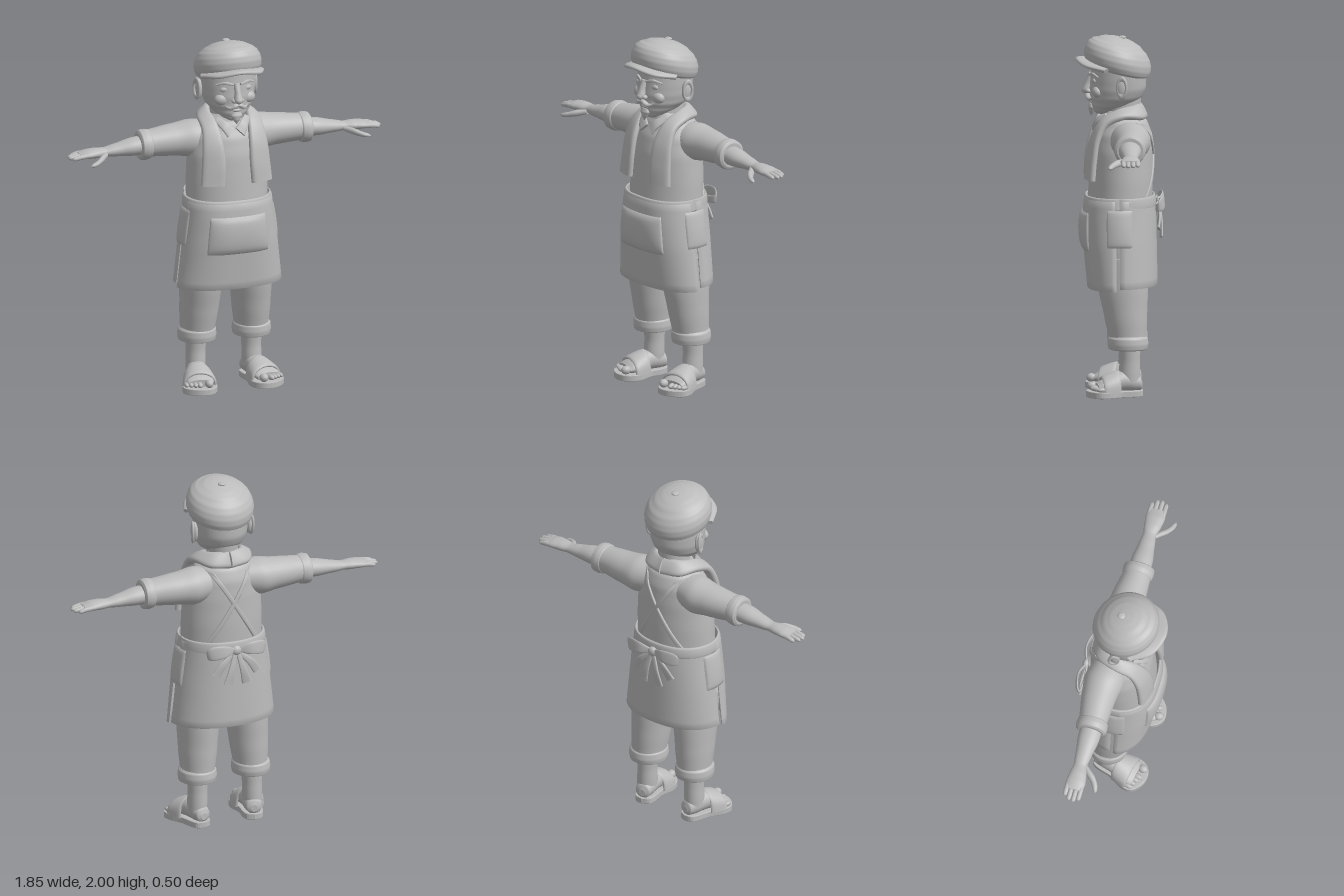
import * as THREE from 'three';

const clay = new THREE.MeshStandardMaterial({ color: 0xbbbbbb });
clay.name = 'plain grey';
const V = (x, y, z) => new THREE.Vector3(x, y, z);
const spow = (v, p) => Math.sign(v) * Math.pow(Math.abs(v), p);

// Closed skin from rings of points; flips itself so that it faces outwards
function skin(rings) {
  const n = rings[0].length, pos = [], idx = [];
  rings.forEach(r => r.forEach(p => pos.push(p.x, p.y, p.z)));
  for (let i = 0; i < rings.length - 1; i++) for (let j = 0; j < n; j++) {
    const a = i * n + j, b = i * n + (j + 1) % n, c = a + n, d = b + n;
    idx.push(a, b, c, b, d, c);
  }
  const flat = rings.flat();
  let volume = 0;
  for (let i = 0; i < idx.length; i += 3)
    volume += flat[idx[i]].dot(flat[idx[i + 1]].clone().cross(flat[idx[i + 2]]));
  if (volume < 0) idx.reverse();
  const g = new THREE.BufferGeometry();
  g.setAttribute('position', new THREE.Float32BufferAttribute(pos, 3));
  g.setIndex(idx);
  g.computeVertexNormals();
  return g;
}

// Close both ends of a ring list with a crisp cap
function capped(rings) {
  const end = r => {
    const c = r.reduce((s, p) => s.add(p), V(0, 0, 0)).divideScalar(r.length);
    return r.map(() => c.clone());
  };
  const last = rings[rings.length - 1];
  return skin([end(rings[0]), rings[0], ...rings, last, end(last)]);
}

// Smooth loft through elliptical sections [x, y, z, radiusA, radiusB]
function loft(secs, axis = 'y', n = 32, sub = 5) {
  const centre = new THREE.CatmullRomCurve3(secs.map(s => V(s[0], s[1], s[2])), false, 'centripetal');
  const rings = [], count = (secs.length - 1) * sub;
  for (let i = 0; i <= count; i++) {
    const t = i / count, c = centre.getPoint(t), k = Math.min(Math.floor(i / sub), secs.length - 2), f = i / sub - k;
    const mix = m => {
      const s = q => secs[Math.max(0, Math.min(secs.length - 1, q))][m];
      const v = THREE.MathUtils, p1 = s(k), p2 = s(k + 1), e = f * f * (3 - 2 * f);
      return v.lerp(v.lerp(p1, p2, f), v.lerp(p1, p2, e), 0.4);
    };
    const a = mix(3), b = mix(4), ring = [];
    for (let j = 0; j < n; j++) {
      const u = a * Math.cos(j / n * Math.PI * 2), w = b * Math.sin(j / n * Math.PI * 2);
      ring.push(c.clone().add(axis === 'y' ? V(u, 0, w) : axis === 'x' ? V(0, u, w) : V(u, w, 0)));
    }
    rings.push(ring);
  }
  return capped(rings);
}

// Padded band running between two edge curves
function strip(A, B, t, steps = 24) {
  const ca = new THREE.CatmullRomCurve3(A.map(p => V(...p))), cb = new THREE.CatmullRomCurve3(B.map(p => V(...p)));
  const mid = s => ca.getPoint(s).add(cb.getPoint(s)).multiplyScalar(0.5), rings = [];
  for (let i = 0; i <= steps; i++) {
    const s = i / steps, c = mid(s), w = cb.getPoint(s).sub(c);
    const n = mid(Math.min(1, s + 0.01)).sub(mid(Math.max(0, s - 0.01))).cross(w).normalize();
    const ring = [];
    for (let j = 0; j < 16; j++) {
      const q = j / 16 * Math.PI * 2;
      ring.push(c.clone().addScaledVector(w, spow(Math.cos(q), 0.7)).addScaledVector(n, t * spow(Math.sin(q), 0.7)));
    }
    rings.push(ring);
  }
  return capped(rings);
}

function ball(x, y, z, a, b, c) {
  return new THREE.SphereGeometry(1, 20, 14).scale(a, b, c).translate(x, y, z);
}

// Interpolate table rows [y, ...values], highest y first
function at(table, y) {
  let k = 0;
  while (k < table.length - 2 && y < table[k + 1][0]) k++;
  const f = THREE.MathUtils.clamp((table[k][0] - y) / (table[k][0] - table[k + 1][0]), 0, 1);
  return table[k].map((v, i) => v + (table[k + 1][i] - v) * f);
}

// Apron surface: y, half width, front z, back z
const APRON = [[1.12, 0.236, 0.178, -0.19], [1, 0.25, 0.19, -0.197], [0.85, 0.272, 0.187, -0.2], [0.6, 0.3, 0.163, -0.205]];
function apronPoint(q, y, off) {
  const [, rx, zf, zb] = at(APRON, y), c = Math.cos(q), s = Math.sin(q);
  const x = (s > 0 ? spow(c, 0.75) : spow(c, 0.85)) * (rx + off);
  return V(x, y, s > 0 ? (zf + off) * s : (-zb + off) * s);
}
// Curved cloth panel with thickness, laid over the apron surface
function panel(q0, q1, top, bottom, off, t, bulge = 0, cols = 40) {
  const rings = [], rows = 12;
  for (let i = 0; i <= cols; i++) {
    const u = i / cols, q = q0 + (q1 - q0) * u, th = i % cols ? t : t * 0.4, ring = [];
    for (let j = 0; j <= 2 * rows + 1; j++) {
      const outer = j <= rows, v = (outer ? j : 2 * rows + 1 - j) / rows;
      const puff = bulge * Math.sqrt(Math.sin(Math.PI * u) * Math.abs(Math.sin(Math.PI * v)));
      ring.push(apronPoint(q, top + (bottom - top) * v, off + (outer ? th + puff : 0)));
    }
    rings.push(ring);
  }
  return capped(rings);
}

// Torso: y, half width, centre z, depth radius
const TORSO = [[1.585, 0.075, -0.005, 0.08], [1.555, 0.12, -0.02, 0.105], [1.52, 0.165, -0.028, 0.13], [1.45, 0.205, -0.022, 0.158],
  [1.35, 0.226, -0.014, 0.172], [1.2, 0.233, -0.01, 0.178], [1.08, 0.233, -0.005, 0.18]];

export function createModel() {
  const root = new THREE.Group();
  const add = (name, g, parent = root) => {
    const m = new THREE.Mesh(g, clay);
    m.name = name;
    parent.add(m);
  };
  const mirror = g => {
    const m = g.clone().scale(-1, 1, 1), n = m.attributes.position.count;
    const id = m.index ? Array.from(m.index.array) : Array.from({ length: n }, (_, i) => i);
    for (let i = 0; i < id.length; i += 3) [id[i], id[i + 1]] = [id[i + 1], id[i]];
    m.setIndex(id);
    return m;
  };
  const pair = (name, g) => { add(name + 'Left', g); add(name + 'Right', mirror(g)); };

  // Head and face
  add('head', loft([[0, 1.565, 0.1, 0.03, 0.025], [0, 1.585, 0.085, 0.065, 0.062], [0, 1.62, 0.04, 0.108, 0.115], [0, 1.66, 0.018, 0.137, 0.145],
    [0, 1.71, 0.008, 0.15, 0.157], [0, 1.77, 0.004, 0.155, 0.156], [0, 1.84, 0, 0.157, 0.155], [0, 1.9, 0, 0.13, 0.13]], 'y', 40));
  add('neck', loft([[0, 1.48, -0.02, 0.09, 0.09], [0, 1.68, -0.03, 0.085, 0.095]]));
  add('noseBridge', loft([[0, 1.79, 0.155, 0.017, 0.014], [0, 1.74, 0.168, 0.018, 0.022], [0, 1.70, 0.18, 0.025, 0.026], [0, 1.682, 0.178, 0.016, 0.018]], 'y', 20));
  add('noseTip', ball(0, 1.697, 0.187, 0.022, 0.02, 0.021));
  pair('nostril', ball(0.023, 1.693, 0.171, 0.014, 0.013, 0.016));
  pair('cheek', ball(0.075, 1.695, 0.12, 0.045, 0.035, 0.032));
  pair('eyelid', ball(0.062, 1.755, 0.136, 0.03, 0.017, 0.014));
  pair('eyebrow', strip([[0.02, 1.79, 0.161], [0.065, 1.802, 0.147], [0.11, 1.785, 0.115]], [[0.02, 1.778, 0.162], [0.065, 1.785, 0.148], [0.11, 1.777, 0.116]], 0.008));
  pair('moustache', loft([[0, 1.668, 0.172, 0.01, 0.014], [0.022, 1.661, 0.174, 0.014, 0.015], [0.045, 1.65, 0.163, 0.01, 0.012], [0.062, 1.656, 0.15, 0.006, 0.007], [0.07, 1.667, 0.142, 0.002, 0.003]], 'x', 16));
  add('lowerLip', ball(0, 1.633, 0.152, 0.026, 0.01, 0.012));
  add('goatee', loft([[0, 1.622, 0.15, 0.024, 0.012], [0, 1.602, 0.15, 0.034, 0.02], [0, 1.58, 0.152, 0.022, 0.016], [0, 1.553, 0.155, 0.003, 0.003]], 'y', 20));
  pair('ear', ball(0.163, 1.73, -0.012, 0.018, 0.058, 0.03).rotateX(0));
  pair('earRim', new THREE.TorusGeometry(0.026, 0.008, 10, 24).scale(1, 1.95, 1).rotateY(Math.PI / 2 - 0.3).translate(0.175, 1.73, -0.014));

  // Flat cap, sheared so that it sits low at the back
  const cap = loft([[1.8, 0.16], [1.812, 0.178], [1.84, 0.188], [1.87, 0.19], [1.9, 0.183], [1.93, 0.167], [1.955, 0.139], [1.978, 0.095], [1.99, 0.05], [1.994, 0.01]]
    .map(([y, r]) => [0, y, 0.008, r, r * 0.98]), 'y', 48, 4);
  const p = cap.attributes.position;
  for (let i = 0; i < p.count; i++) p.setY(i, p.getY(i) + 0.25 * p.getZ(i) * (p.getY(i) > 1.96 ? 0.85 : 1));
  cap.computeVertexNormals();
  add('cap', cap);
  add('capButton', ball(0, 1.991, -0.018, 0.022, 0.009, 0.022));
  add('capVisor', strip([[-0.172, 1.832, 0.06], [-0.1, 1.857, 0.14], [0, 1.868, 0.165], [0.1, 1.857, 0.14], [0.172, 1.832, 0.06]],
    [[-0.185, 1.82, 0.085], [-0.125, 1.845, 0.196], [0, 1.872, 0.244], [0.125, 1.845, 0.196], [0.185, 1.82, 0.085]], 0.012, 40));

  // Shirt body and collar
  add('shirt', loft(TORSO.map(([y, a, z, b]) => [0, y, z, a, b]), 'y', 48));
  pair('shirtCollar', strip([[0.075, 1.575, 0.07], [0.04, 1.555, 0.108], [0.004, 1.52, 0.124]], [[0.105, 1.555, 0.075], [0.075, 1.515, 0.125], [0.05, 1.475, 0.147]], 0.009));

  // Arms
  pair('sleeve', loft([[0.08, 1.44, -0.045, 0.09, 0.1], [0.2, 1.432, -0.062, 0.105, 0.112], [0.3, 1.432, -0.065, 0.09, 0.097], [0.46, 1.429, -0.056, 0.075, 0.079]], 'x'));
  pair('sleeveCuff', loft([[0.44, 1.427, -0.055, 0.073, 0.077], [0.45, 1.426, -0.055, 0.083, 0.086], [0.476, 1.425, -0.055, 0.087, 0.089], [0.5, 1.424, -0.055, 0.083, 0.086], [0.508, 1.424, -0.055, 0.07, 0.073]], 'x'));
  pair('forearm', loft([[0.45, 1.425, -0.055, 0.056, 0.064], [0.55, 1.42, -0.054, 0.05, 0.061], [0.64, 1.412, -0.055, 0.036, 0.047], [0.71, 1.407, -0.056, 0.025, 0.037],
    [0.76, 1.407, -0.054, 0.028, 0.048], [0.81, 1.406, -0.053, 0.025, 0.055], [0.86, 1.402, -0.054, 0.016, 0.052]], 'x'));
  [[-0.093, 0.9], [-0.067, 0.922], [-0.04, 0.926], [-0.014, 0.912]].forEach(([z, tip], i) => pair('finger' + (i + 1),
    loft([[0.81, 1.405, z, 0.014, 0.014], [0.86, 1.402, z, 0.014, 0.014], [tip - 0.015, 1.396, z, 0.012, 0.013], [tip - 0.003, 1.395, z, 0.007, 0.008], [tip, 1.394, z, 0.001, 0.001]], 'x', 14)));
  pair('thumb', loft([[0.7, 1.398, -0.03, 0.014, 0.016], [0.745, 1.388, 0.012, 0.019, 0.026], [0.785, 1.376, 0.046, 0.015, 0.018], [0.815, 1.37, 0.058, 0.011, 0.013], [0.83, 1.368, 0.062, 0.003, 0.004]], 'x', 16));

  // Towel around the neck, hanging down both sides of the chest
  pair('towel', strip(
    [[0, 1.625, -0.105], [0.075, 1.615, -0.075], [0.102, 1.595, 0], [0.09, 1.545, 0.085], [0.078, 1.45, 0.148], [0.073, 1.33, 0.178], [0.08, 1.21, 0.185]],
    [[0, 1.535, -0.15], [0.115, 1.545, -0.125], [0.17, 1.555, -0.02], [0.178, 1.515, 0.075], [0.19, 1.43, 0.118], [0.2, 1.32, 0.135], [0.21, 1.21, 0.145]], 0.021, 48));

  // Apron skirt, slit at both sides, with waistband and pockets
  add('apronFront', panel(0.1, Math.PI - 0.1, 1.1, 0.6, 0, 0.014));
  add('apronBack', panel(Math.PI + 0.01, Math.PI * 2 - 0.01, 1.1, 0.615, -0.004, 0.014));
  add('waistband', panel(0, Math.PI * 2, 1.115, 1.05, 0, 0.008, 0.006, 64));
  add('frontPocket', panel(1.0, Math.PI - 1.0, 1.025, 0.81, 0.006, 0.01, 0.022));
  pair('hipPocket', panel(-0.36, 0.38, 1.05, 0.845, 0.006, 0.008, 0.01, 20));

  // Crossed straps on the back
  const strapPoint = (x, y) => {
    const [, rx, cz, rz] = at(TORSO, y);
    return [x, y, cz - rz * Math.sqrt(Math.max(0, 1 - (x / rx) ** 2)) - 0.004];
  };
  const edge = d => Array.from({ length: 9 }, (_, i) => strapPoint(0.115 - 0.27 * i / 8 + d, 1.52 - 0.43 * i / 8 + d * 0.5));
  pair('backStrap', strip(edge(-0.021), edge(0.021), 0.008));

  // Bow tied at the back
  add('bowKnot', ball(0, 1.07, -0.222, 0.03, 0.028, 0.02));
  pair('bowLoop', strip(
    [[0.01, 1.085, -0.222], [0.08, 1.115, -0.243], [0.16, 1.11, -0.228], [0.175, 1.085, -0.214], [0.09, 1.07, -0.206], [0.01, 1.075, -0.215]],
    [[0.01, 1.06, -0.222], [0.08, 1.045, -0.25], [0.15, 1.035, -0.235], [0.165, 1.035, -0.214], [0.09, 1.03, -0.208], [0.01, 1.055, -0.215]], 0.006));
  pair('bowTailInner', strip([[-0.005, 1.06, -0.224], [0.015, 0.96, -0.235], [0.03, 0.87, -0.23]], [[0.02, 1.06, -0.224], [0.055, 0.96, -0.238], [0.085, 0.885, -0.24]], 0.007));
  pair('bowTailOuter', strip([[0.005, 1.05, -0.216], [0.06, 0.99, -0.226], [0.105, 0.92, -0.222]], [[0.02, 1.065, -0.216], [0.1, 1.005, -0.226], [0.15, 0.945, -0.218]], 0.007));

  // Trousers
  add('trouserSeat', loft([[0, 1.08, -0.005, 0.225, 0.17], [0, 0.85, -0.012, 0.245, 0.165], [0, 0.7, -0.02, 0.25, 0.15], [0, 0.63, -0.022, 0.2, 0.12]], 'y', 40));
  pair('trouserLeg', loft([[0.145, 0.78, -0.015, 0.118, 0.145], [0.148, 0.6, -0.022, 0.117, 0.138], [0.154, 0.45, -0.035, 0.108, 0.12], [0.16, 0.31, -0.048, 0.095, 0.103]]));
  pair('trouserCuff', loft([[0.161, 0.34, -0.047, 0.096, 0.1], [0.162, 0.326, -0.047, 0.106, 0.111], [0.162, 0.295, -0.048, 0.109, 0.114], [0.162, 0.268, -0.048, 0.105, 0.109], [0.162, 0.262, -0.048, 0.09, 0.095]]));

  // Feet in sandals, turned slightly outwards
  const place = g => g.rotateY(0.2).translate(0.165, 0, -0.06);
  pair('shin', loft([[0.163, 0.3, -0.055, 0.06, 0.062], [0.165, 0.2, -0.058, 0.055, 0.057], [0.166, 0.13, -0.056, 0.056, 0.06], [0.167, 0.08, -0.055, 0.055, 0.06]]));
  pair('foot', place(loft([[0, 0.065, -0.066, 0.02, 0.02], [0, 0.072, -0.055, 0.043, 0.042], [0, 0.082, -0.01, 0.054, 0.056], [0, 0.088, 0.05, 0.06, 0.06],
    [0, 0.075, 0.11, 0.074, 0.047], [0, 0.06, 0.165, 0.078, 0.032], [0, 0.055, 0.19, 0.07, 0.022]], 'z')));
  for (let i = 0; i < 5; i++) {
    const r = i ? 0.0165 - i * 0.0008 : 0.024;
    pair('toe' + (i + 1), place(ball(i ? -0.018 + i * 0.024 : -0.045, 0.034 + r, 0.207 - i * 0.008, r, r, 0.028)));
  }
  const outline = new THREE.Shape();
  outline.moveTo(0, 0.07);
  outline.splineThru([[0.04, 0.055], [0.055, 0.01], [0.063, -0.06], [0.092, -0.14], [0.085, -0.2], [0.02, -0.24], [-0.05, -0.235], [-0.088, -0.19],
    [-0.09, -0.13], [-0.06, -0.06], [-0.055, 0.01], [-0.04, 0.055], [0, 0.07]].map(q => new THREE.Vector2(...q)));
  pair('sandalSole', place(new THREE.ExtrudeGeometry(outline, { depth: 0.028, bevelSize: 0.004, bevelThickness: 0.004, bevelSegments: 2, curveSegments: 4 })
    .rotateX(-Math.PI / 2).translate(0, 0.004, 0)));
  const arc = (w, h, z) => Array.from({ length: 9 }, (_, i) => {
    const q = Math.PI * i / 8;
    return [w * Math.cos(q), 0.028 + h * Math.pow(Math.sin(q), 0.8), z];
  });
  pair('sandalStrap', place(strip(arc(0.072, 0.112, 0.065), arc(0.09, 0.076, 0.165), 0.011)));
  return root;
}
